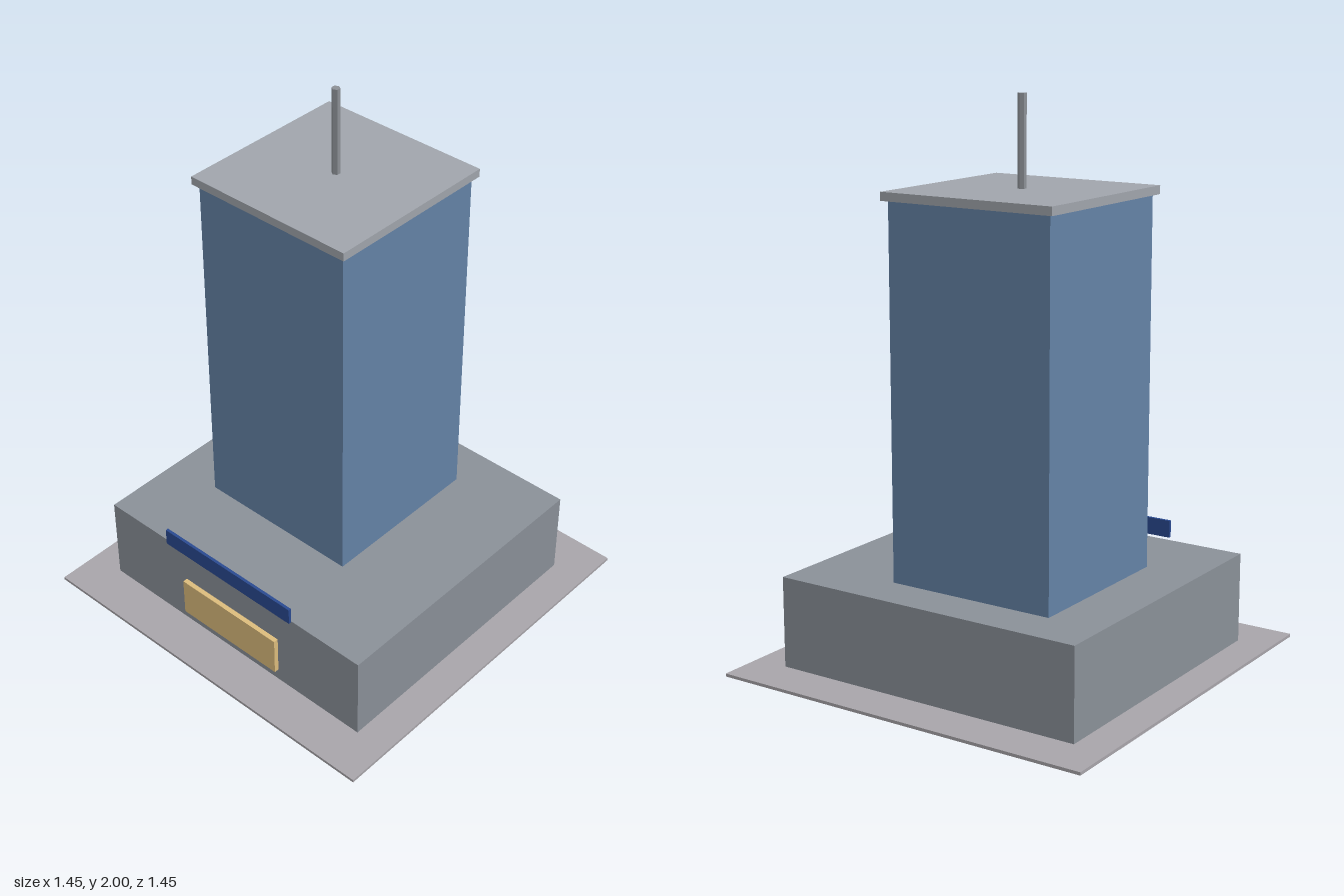
import * as THREE from 'three';

export function createModel() {
  const model = new THREE.Group();
  model.name = 'officeTower';

  const add = (name, geometry, color, x, y, z) => {
    const material = new THREE.MeshStandardMaterial({ color, flatShading: true });
    const mesh = new THREE.Mesh(geometry, material);
    mesh.name = name;
    mesh.position.set(x, y, z);
    model.add(mesh);
  };

  // Box given by its size, its base height and its centre in plan
  const box = (name, color, [w, h, d], base, x = 0, z = 0) =>
    add(name, new THREE.BoxGeometry(w, h, d), color, x, base + h / 2, z);

  // Ground slab and podium
  box('groundSlab', 0xa8a5aa, [1.45, 0.011, 1.45], 0);
  box('podium', 0x8a9098, [1.194, 0.335, 1.118], 0.005);

  // Tower, roof and mast share an axis set back towards the rear left corner
  const axis = -0.075;
  box('tower', 0x6482a6, [0.634, 1.315, 0.634], 0.34, axis, axis);
  box('roofSlab', 0xa0a5ac, [0.67, 0.03, 0.67], 1.655, axis, axis);
  add('mast', new THREE.CylinderGeometry(0.015, 0.015, 0.317, 6), 0x8c9096, axis, 1.8415, axis);

  // Front entrance and sign board above the podium edge
  box('entrance', 0xdcbc7c, [0.45, 0.149, 0.02], 0.058, 0, 0.567);
  box('signBoard', 0x2a4a90, [0.598, 0.064, 0.011], 0.346, 0, 0.572);

  return model;
}
